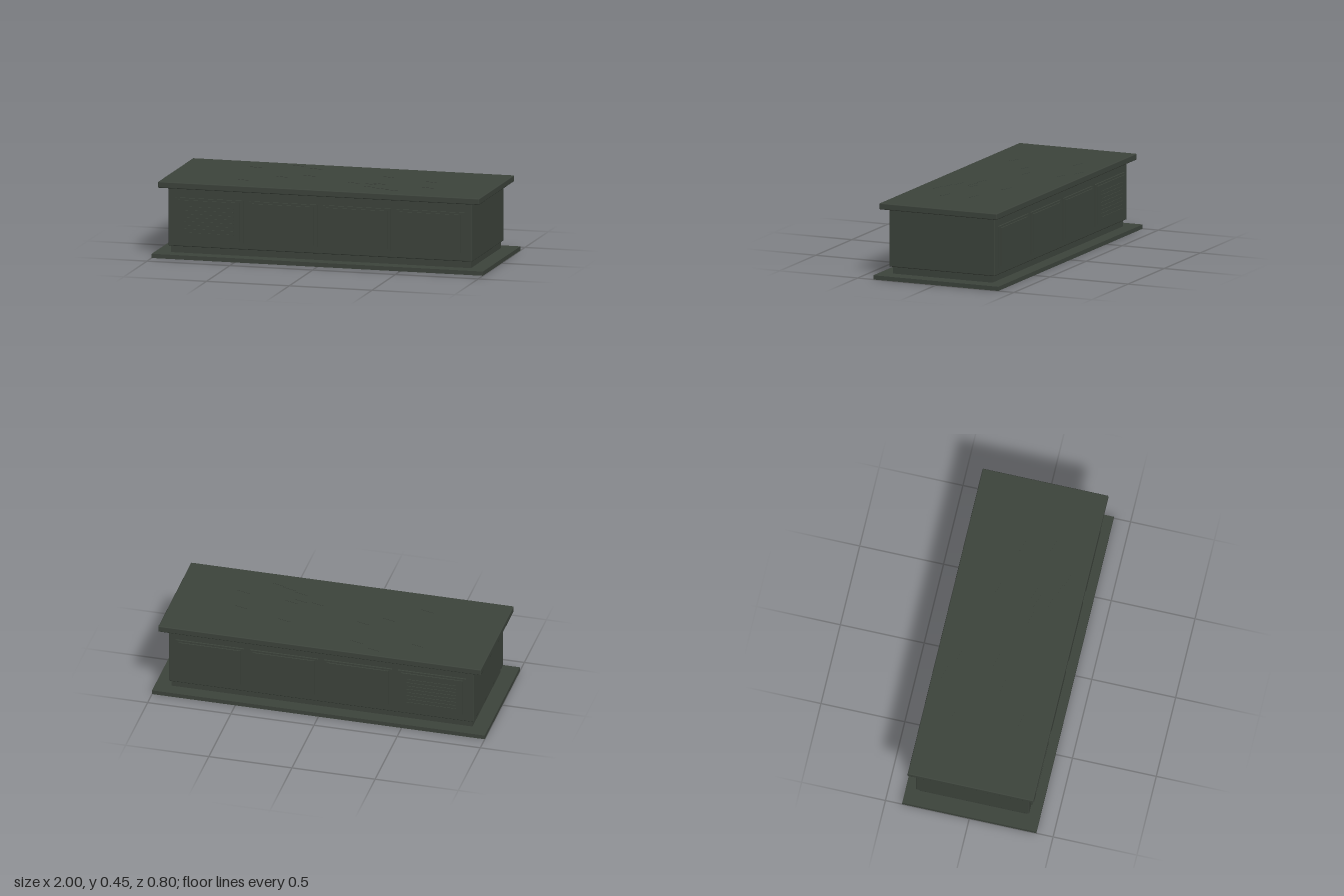
import * as THREE from 'three';
import { RoundedBoxGeometry } from 'three/addons/geometries/RoundedBoxGeometry.js';

export function createModel() {
  const model = new THREE.Group();
  model.name = 'stoneChest';
  const stone = new THREE.MeshStandardMaterial({ color: 0x3d443c });
  stone.name = 'dark green stone';

  // Box between two heights, with optional rounded edges
  function slab(name, w, d, y0, y1, radius = 0) {
    const h = y1 - y0;
    const geo = radius ? new RoundedBoxGeometry(w, h, d, 2, radius) : new THREE.BoxGeometry(w, h, d);
    const mesh = new THREE.Mesh(geo, stone);
    mesh.name = name;
    mesh.position.y = (y0 + y1) / 2;
    return mesh;
  }

  // Stacked main parts
  model.add(
    slab('base', 2, 0.8, 0, 0.025),
    slab('plinth', 1.81, 0.638, 0.025, 0.068),
    slab('body', 1.834, 0.676, 0.066, 0.413, 0.005),
    slab('lid', 1.94, 0.75, 0.412, 0.449, 0.005)
  );

  // Four stepped panels on each long side
  const panelX = [-0.6675, -0.2225, 0.2225, 0.6675];
  for (const side of [1, -1]) {
    const panels = new THREE.Group();
    panels.name = side > 0 ? 'frontPanels' : 'backPanels';
    for (const x of panelX) {
      const frame = slab('panelFrame', 0.41, 0.02, 0.105, 0.355);
      frame.position.x = x;
      frame.position.z = side * 0.337;
      const inset = slab('panelInset', 0.37, 0.02, 0.117, 0.343);
      inset.position.x = x;
      inset.position.z = side * 0.344;
      panels.add(frame, inset);
    }
    // Louvres on the end panel
    for (let i = 0; i < 8; i++) {
      const y = 0.15 + i * 0.022;
      const louvre = slab('louvre', 0.295, 0.008, y - 0.003, y + 0.003);
      louvre.position.x = panelX[0];
      louvre.position.z = side * 0.354;
      panels.add(louvre);
    }
    model.add(panels);
  }

  // Shallow slanting marks on the lid
  const marks = [
    [-0.31, -0.31], [-0.19, -0.25], [-0.54, -0.2], [-0.17, -0.035], [-0.31, 0.04],
    [-0.5, 0.19], [0.28, -0.12], [0.56, -0.04], [0.59, 0.13], [0.14, 0.105],
    [0.24, 0.115], [0.29, 0.09], [0.26, 0.195], [0.34, 0.23], [0.41, 0.26]
  ];
  const lidMarks = new THREE.Group();
  lidMarks.name = 'lidMarks';
  for (const [x, z] of marks) {
    const mark = slab('mark', 0.08, 0.006, 0.446, 0.451);
    mark.position.x = x;
    mark.position.z = z;
    mark.rotation.y = -0.27;
    lidMarks.add(mark);
  }
  model.add(lidMarks);

  return model;
}
